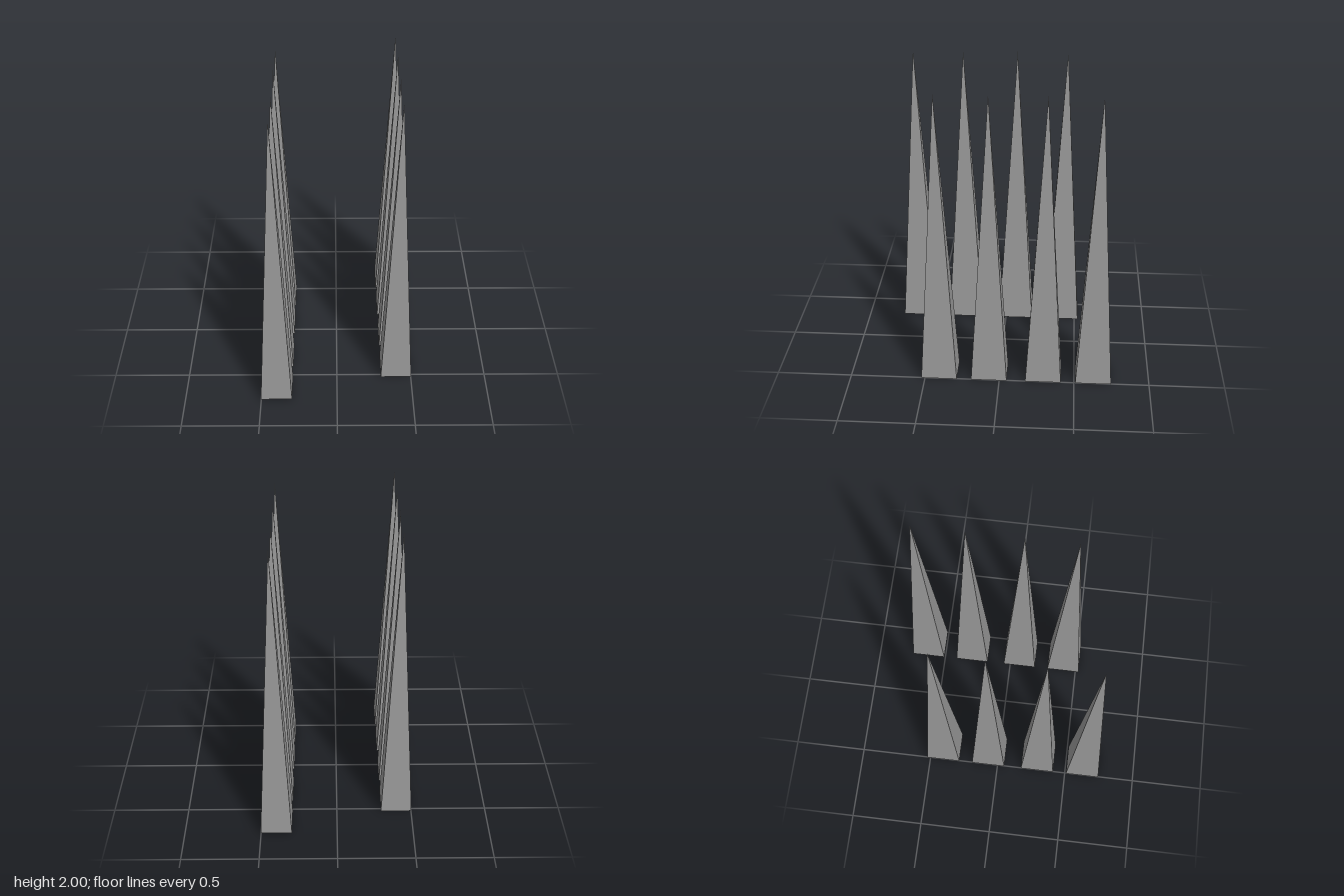
import * as THREE from 'three';

const WIDTH = 0.205, DEPTH = 0.238, HEIGHT = 2;
const ROW_X = 0.4;
const ROW_Z = [-0.628, -0.293, 0.07, 0.405];

// Tall four-sided spike with a rectangular closed base standing on y = 0
function spikeGeometry() {
  const geometry = new THREE.ConeGeometry(Math.SQRT1_2, HEIGHT, 4, 1, false, Math.PI / 4);
  geometry.scale(WIDTH, 1, DEPTH);
  geometry.translate(0, HEIGHT / 2, 0);
  return geometry;
}

export function createModel() {
  const model = new THREE.Group();
  model.name = 'spikes';
  const material = new THREE.MeshStandardMaterial({ color: 0x999999, flatShading: true });
  const geometry = spikeGeometry();

  // Two staggered rows; the second is the first turned half way round
  for (const side of [1, -1]) {
    const row = new THREE.Group();
    row.name = side > 0 ? 'leftRow' : 'rightRow';
    ROW_Z.forEach((z, i) => {
      const spike = new THREE.Mesh(geometry, material);
      spike.name = `spike${i + 1}`;
      spike.position.set(side * ROW_X, 0, side * z);
      row.add(spike);
    });
    model.add(row);
  }
  return model;
}
